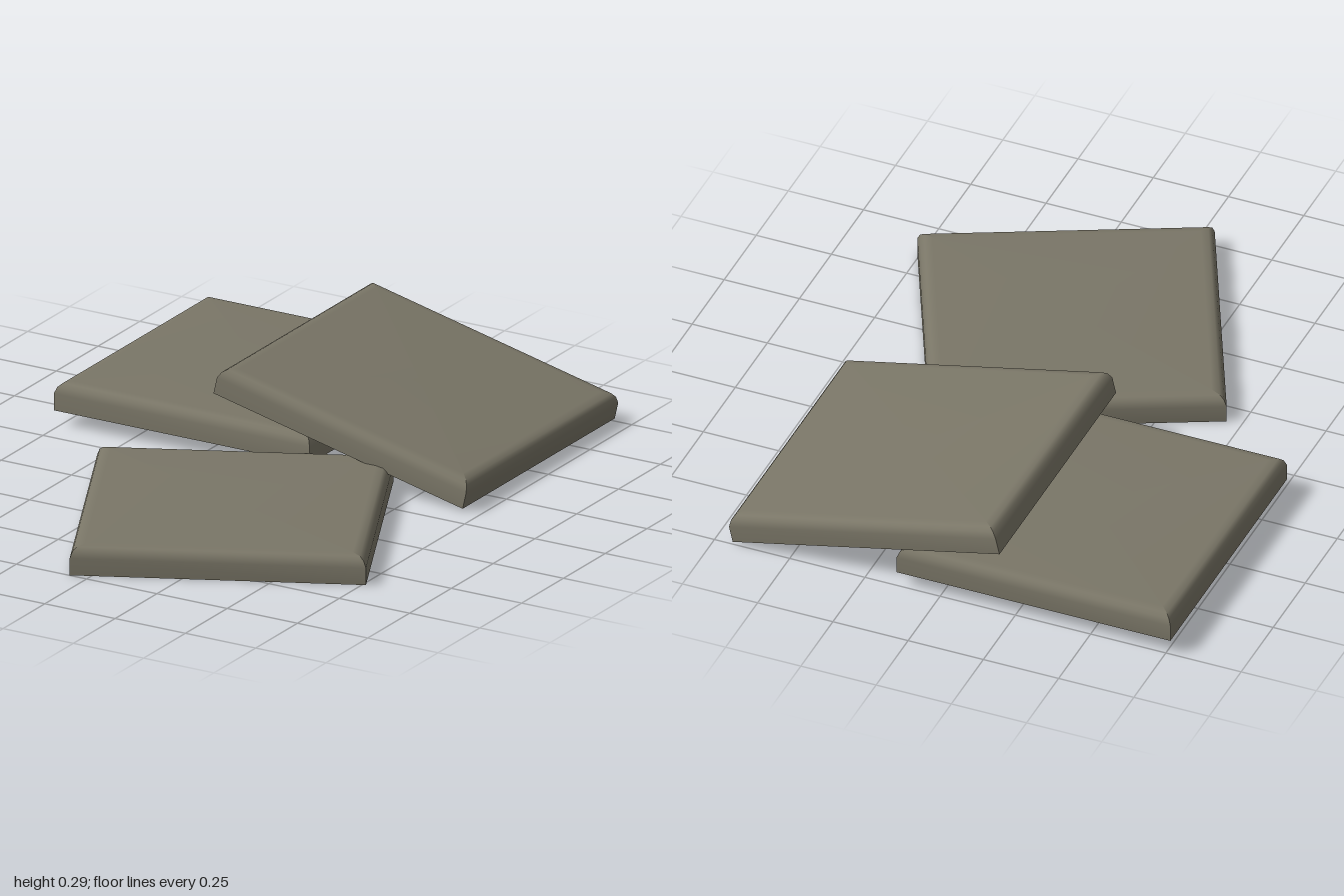
import * as THREE from 'three';
import { mergeGeometries } from 'three/addons/utils/BufferGeometryUtils.js';

const SIZE = 0.91;
const THICK = 0.09;
// rounded edge, from the bottom up: [inset from the side, height]
const PROFILE = [[0, 0], [0, 0.055], [0.008, 0.075], [0.02, 0.086], [0.045, THICK]];

// One quarter of the slab: side wall, rounded edge and a wedge of the top
function quarter(angle) {
  const pos = [], index = [];
  for (const [inset, h] of PROFILE) {
    const r = SIZE / 2 - inset;
    pos.push(-r, h, r, r, h, r);
  }
  for (let i = 0; i < PROFILE.length - 1; i++) {
    const a = i * 2;
    index.push(a, a + 1, a + 2, a + 1, a + 3, a + 2);
  }
  const last = PROFILE.length * 2;
  pos.push(0, THICK, 0);
  index.push(last - 2, last - 1, last);
  const g = new THREE.BufferGeometry();
  g.setAttribute('position', new THREE.Float32BufferAttribute(pos, 3));
  g.setIndex(index);
  g.computeVertexNormals();
  return g.rotateY(angle);
}

// Square slab with mitred rounded edges and a flat underside at y = 0
function slabGeometry() {
  const parts = [0, 1, 2, 3].map((k) => quarter(k * Math.PI / 2));
  const base = new THREE.PlaneGeometry(SIZE, SIZE).rotateX(Math.PI / 2);
  base.deleteAttribute('uv');
  return mergeGeometries([...parts, base]);
}

export function createModel() {
  const group = new THREE.Group();
  group.name = 'stoneSlabs';
  const stone = new THREE.MeshStandardMaterial({ color: 0x7a7667 });
  stone.name = 'greyBrownStone';
  const geometry = slabGeometry();

  const addSlab = (name, position, rotation) => {
    const slab = new THREE.Mesh(geometry, stone);
    slab.name = name;
    slab.position.set(...position);
    slab.rotation.set(...rotation);
    group.add(slab);
  };

  addSlab('frontSlab', [0.155, 0, 0.393], [0, 0.443, 0]);
  addSlab('backSlab', [-0.31, 0.05, -0.545], [0, 0, 0]);
  addSlab('leaningSlab', [0.246, 0.112, -0.545], [0, 0, -0.229]);
  return group;
}
